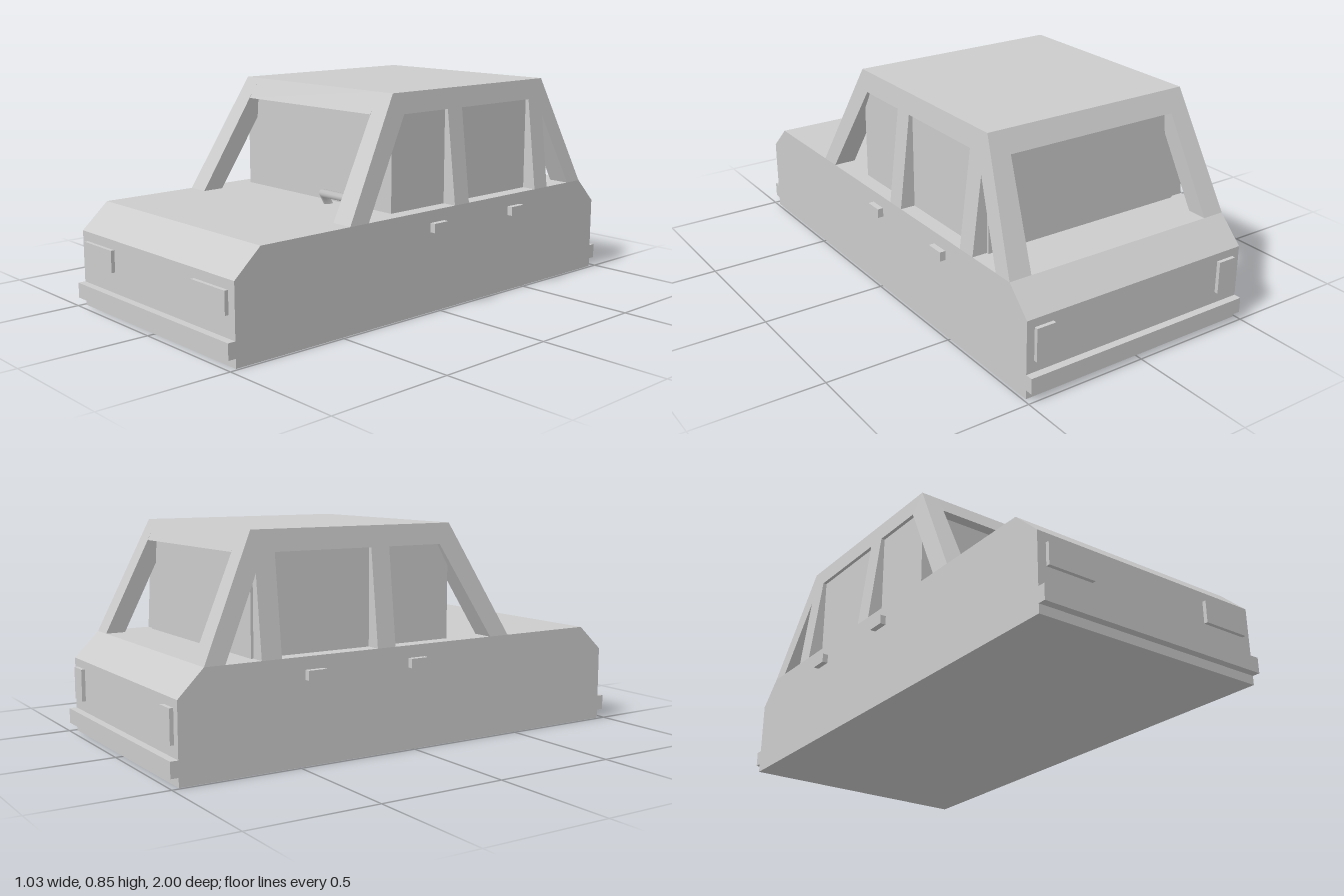
import * as THREE from 'three';

export function createModel() {
  const car = new THREE.Group();
  const grey = new THREE.MeshStandardMaterial({ color: 0xcccccc, flatShading: true });
  const smooth = new THREE.MeshStandardMaterial({ color: 0xcccccc });

  const add = (name, geometry, material = grey) => {
    const mesh = new THREE.Mesh(geometry, material);
    mesh.name = name;
    car.add(mesh);
    return mesh;
  };

  // box given by its limits on each axis
  const box = (name, [x0, x1], [y0, y1], [z0, z1]) =>
    add(name, new THREE.BoxGeometry(x1 - x0, y1 - y0, z1 - z0))
      .position.set((x0 + x1) / 2, (y0 + y1) / 2, (z0 + z1) / 2);

  // side outline of [z, y] points, extruded across x from -half to +half
  const prism = (points, half) => {
    const shape = new THREE.Shape(points.map(([z, y]) => new THREE.Vector2(-z, y)));
    return new THREE.ExtrudeGeometry(shape, { depth: half * 2, bevelEnabled: false })
      .translate(0, 0, -half)
      .rotateY(Math.PI / 2);
  };

  // lower body with sloping nose and tail edges
  add('body', prism([
    [0.97, 0], [0.97, 0.3], [0.86, 0.4], [-0.87, 0.4], [-0.97, 0.3], [-0.97, 0],
  ], 0.49));

  // cabin sides: pillars and window openings, leaning inward toward the roof
  const sideOutline = [
    [0.46, 0.4], [0.2, 0.85], [-0.66, 0.85], [-0.87, 0.4],
    [-0.79, 0.4], [-0.65, 0.7], [-0.65, 0.4],
    [-0.57, 0.4], [-0.57, 0.77], [-0.165, 0.77], [-0.165, 0.4],
    [-0.085, 0.4], [-0.085, 0.77], [0.15, 0.77], [0.37, 0.4],
  ];
  for (const side of [1, -1]) {
    const geometry = prism(sideOutline, 0.5);
    const p = geometry.attributes.position;
    for (let i = 0; i < p.count; i++) {
      const rise = p.getY(i) - 0.4;
      const outer = p.getX(i) * side > 0;
      p.setX(i, side * (outer ? 0.49 - 0.122 * rise : 0.4 - 0.095 * rise));
    }
    geometry.computeVertexNormals();
    add(side > 0 ? 'leftCabinSide' : 'rightCabinSide', geometry);
  }

  // roof slab, its ends forming the headers over windscreen and rear window
  add('roof', prism([[0.246, 0.77], [0.2, 0.85], [-0.66, 0.85], [-0.697, 0.77]], 0.363));

  // solid cabin core behind the windows
  box('cabinCore', [-0.43, 0.43], [0.39, 0.8], [-0.66, 0.2]);

  // square steering wheel half sunk into the body
  const wheel = add('steeringWheel',
    new THREE.TorusGeometry(0.088, 0.018, 12, 4).rotateZ(Math.PI / 4), smooth);
  wheel.position.set(0.19, 0.39, 0.24);
  wheel.rotation.x = Math.PI / 6;

  // bumpers
  box('frontBumper', [-0.49, 0.49], [0.035, 0.095], [0.96, 1]);
  box('rearBumper', [-0.49, 0.49], [0.035, 0.095], [-1, -0.96]);

  // lamps and door handles on both sides
  for (const side of [1, -1]) {
    const label = side > 0 ? 'left' : 'right';
    const span = (a, b) => (side > 0 ? [a, b] : [-b, -a]);
    box(label + 'Headlight', span(0.26, 0.455), [0.177, 0.263], [0.96, 0.985]);
    box(label + 'TailLight', span(0.38, 0.458), [0.14, 0.268], [-0.985, -0.96]);
    box(label + 'FrontHandle', span(0.48, 0.513), [0.316, 0.352], [-0.025, 0.05]);
    box(label + 'RearHandle', span(0.48, 0.513), [0.316, 0.352], [-0.475, -0.4]);
  }

  return car;
}
